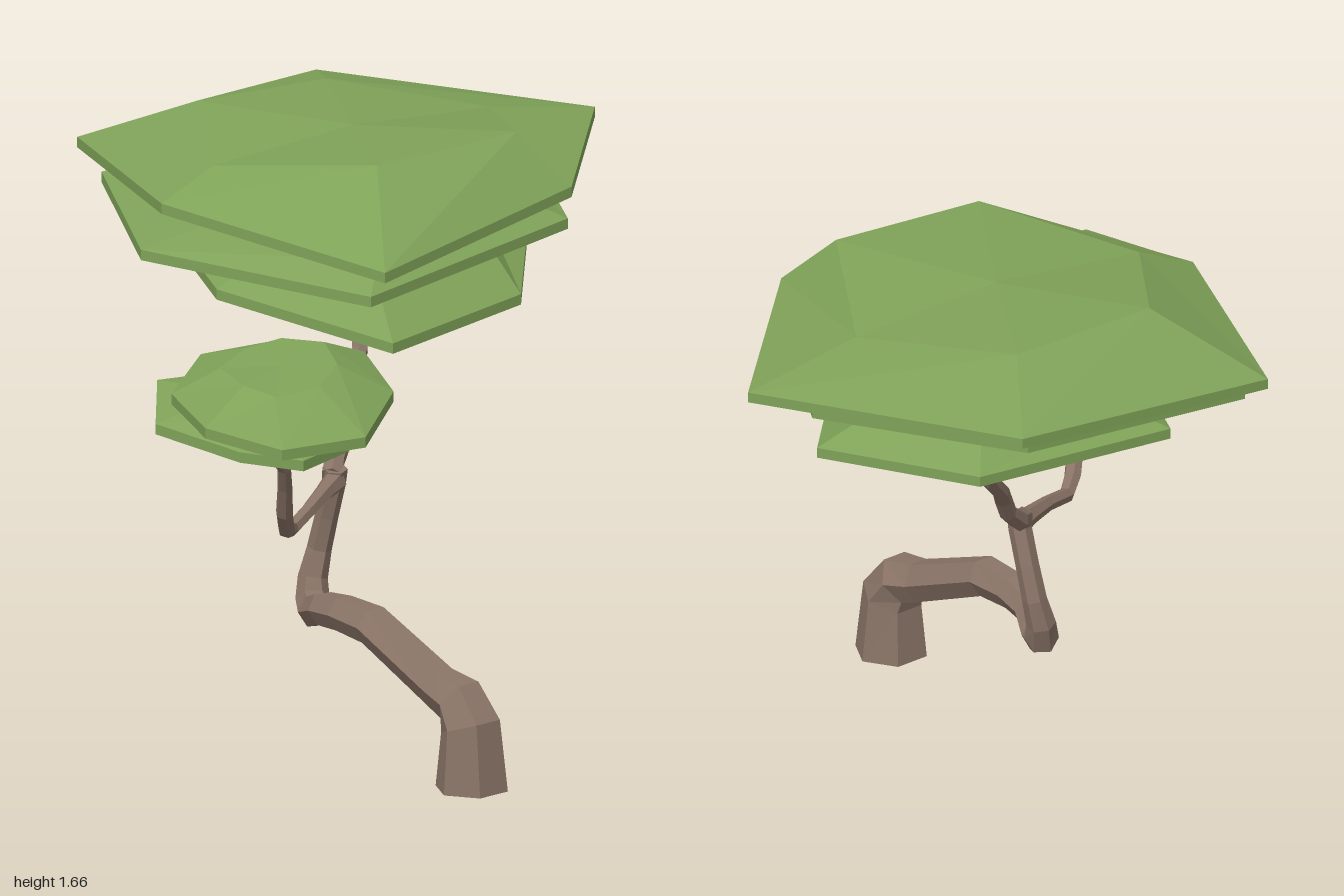
import * as THREE from 'three';

const bark = new THREE.MeshStandardMaterial({ color: 0x8a7467, flatShading: true });
const leaf = new THREE.MeshStandardMaterial({ color: 0x7fa258, flatShading: true });

// Joins equal-sized rings of points into a closed, flat-shaded skin.
function loft(rings, material, name) {
  const n = rings[0].length;
  const pos = [];
  const tri = (...pts) => pts.forEach((p) => pos.push(p.x, p.y, p.z));
  const centre = (ring) => ring.reduce((s, p) => s.add(p), new THREE.Vector3()).divideScalar(n);
  const first = rings[0], last = rings[rings.length - 1];
  const c0 = centre(first), c1 = centre(last);
  for (let i = 0; i < n; i++) {
    const j = (i + 1) % n;
    for (let k = 0; k < rings.length - 1; k++) {
      const a = rings[k], b = rings[k + 1];
      tri(a[i], a[j], b[j]);
      tri(a[i], b[j], b[i]);
    }
    tri(c0, first[j], first[i]);
    tri(c1, last[i], last[j]);
  }
  const geo = new THREE.BufferGeometry();
  geo.setAttribute('position', new THREE.Float32BufferAttribute(pos, 3));
  geo.computeVertexNormals();
  const mesh = new THREE.Mesh(geo, material);
  mesh.name = name;
  return mesh;
}

// Six-sided limb through stations [x, y, z, radius].
function limb(name, stations, startDir) {
  const pts = stations.map((s) => new THREE.Vector3(s[0], s[1], s[2]));
  let side = new THREE.Vector3(1, 0, 0);
  let prev = new THREE.Vector3(...startDir).normalize();
  side.addScaledVector(prev, -side.dot(prev));
  if (side.length() < 0.3) side.set(0, 0, 1).addScaledVector(prev, -prev.z);
  side.normalize();
  const rings = pts.map((p, i) => {
    const t = i === 0 ? prev.clone() : new THREE.Vector3();
    if (i > 0) {
      t.add(p.clone().sub(pts[i - 1]).normalize());
      if (i < pts.length - 1) t.add(pts[i + 1].clone().sub(p).normalize());
      t.normalize();
    }
    side.applyQuaternion(new THREE.Quaternion().setFromUnitVectors(prev, t));
    prev = t;
    const up = t.clone().cross(side);
    return Array.from({ length: 6 }, (_, k) => {
      const a = (k * Math.PI) / 3;
      return p.clone()
        .addScaledVector(side, Math.cos(a) * stations[i][3])
        .addScaledVector(up, Math.sin(a) * stations[i][3]);
    });
  });
  return loft(rings, bark, name);
}

// Faceted leaf pad: shrunken underside, thin rim band and a smaller crown.
function pad(name, rim, crown, under) {
  const upper = rim.map((p) => new THREE.Vector3(...p));
  const lower = upper.map((p) => p.clone().setY(p.y - 0.03));
  const mid = new THREE.Vector3(...under.centre);
  const base = lower.map((p) => {
    const q = p.clone().lerp(mid, 1 - under.scale);
    q.y = mid.y + (p.y - mid.y) * under.tilt;
    return q;
  });
  return loft([base, lower, upper, crown.map((p) => new THREE.Vector3(...p))], leaf, name);
}

export function createModel() {
  const tree = new THREE.Group();
  tree.name = 'leaningTree';

  // Bent trunk and its two branches
  tree.add(limb('trunk', [
    [-0.28, 0, 0.81, 0.105], [-0.28, 0.18, 0.805, 0.088], [-0.28, 0.245, 0.76, 0.075],
    [-0.28, 0.265, 0.68, 0.062], [-0.275, 0.385, 0.4, 0.058], [-0.265, 0.39, 0.27, 0.053],
    [-0.245, 0.378, 0.17, 0.05], [-0.2, 0.345, 0.085, 0.05], [-0.165, 0.365, 0.035, 0.048],
    [-0.15, 0.42, 0.02, 0.042], [-0.13, 0.5, 0.025, 0.035], [-0.125, 0.6, 0.05, 0.033],
    [-0.125, 0.7, 0.08, 0.033], [-0.13, 0.745, 0.09, 0.035],
  ], [0, 1, 0]));
  tree.add(limb('rightHandBranch', [
    [-0.13, 0.71, 0.09, 0.035], [-0.2, 0.7, 0.125, 0.027], [-0.31, 0.68, 0.18, 0.022],
    [-0.42, 0.655, 0.225, 0.022], [-0.485, 0.675, 0.275, 0.025], [-0.53, 0.74, 0.315, 0.025],
    [-0.565, 0.83, 0.355, 0.022], [-0.6, 0.9, 0.39, 0.02], [-0.66, 0.96, 0.41, 0.018],
  ], [-1, -0.1, 0.4]));
  tree.add(limb('leftHandBranch', [
    [-0.14, 0.72, 0.09, 0.035], [-0.09, 0.75, 0.045, 0.03], [-0.03, 0.8, 0.02, 0.025],
    [0.01, 0.865, -0.005, 0.025], [0.065, 0.925, -0.06, 0.024], [0.135, 0.995, -0.095, 0.024],
    [0.165, 1.06, -0.135, 0.024], [0.18, 1.09, -0.17, 0.026], [0.19, 1.16, -0.18, 0.022],
  ], [1, 0.6, -0.6]));

  // Three stacked pads on the main crown
  tree.add(pad('topLeafPad',
    [[-0.5, 1.515, -0.22], [-0.33, 1.435, 0.51], [0.44, 1.52, 0.44],
      [1, 1.535, -0.07], [0.64, 1.555, -0.82], [-0.19, 1.505, -0.9]],
    [[-0.32, 1.595, -0.2], [-0.12, 1.65, 0.25], [0.36, 1.665, 0.3],
      [0.63, 1.6, -0.1], [0.41, 1.635, -0.53], [-0.04, 1.65, -0.57]],
    { centre: [0.2, 1.45, -0.2], scale: 0.75, tilt: 0.5 }));
  tree.add(pad('middleLeafPad',
    [[-0.55, 1.385, -0.25], [-0.31, 1.345, 0.43], [0.5, 1.4, 0.36],
      [0.79, 1.43, -0.1], [0.5, 1.445, -0.68], [-0.2, 1.43, -0.79]],
    [[-0.36, 1.42, -0.22], [-0.2, 1.41, 0.34], [0.42, 1.45, 0.28],
      [0.66, 1.47, -0.1], [0.42, 1.47, -0.55], [-0.14, 1.47, -0.62]],
    { centre: [0.18, 1.34, -0.18], scale: 0.75, tilt: 0.5 }));
  tree.add(pad('lowerLeafPad',
    [[-0.31, 1.235, -0.2], [-0.18, 1.175, 0.38], [0.36, 1.2, 0.32],
      [0.73, 1.27, -0.05], [0.52, 1.28, -0.5], [-0.1, 1.265, -0.59]],
    [[-0.2, 1.3, -0.16], [-0.08, 1.31, 0.2], [0.37, 1.31, 0.18],
      [0.58, 1.33, -0.08], [0.43, 1.34, -0.4], [-0.02, 1.32, -0.46]],
    { centre: [0.2, 1.145, -0.16], scale: 0.55, tilt: 0.1 }));

  // Two pads on the side branch
  tree.add(pad('sideUpperLeafPad',
    [[-0.87, 1.13, 0.22], [-1, 1.115, 0.5], [-0.96, 1.1, 0.77], [-0.7, 1.1, 0.83],
      [-0.4, 1.13, 0.62], [-0.27, 1.165, 0.36], [-0.4, 1.17, 0.12], [-0.62, 1.165, 0.07]],
    [[-0.76, 1.2, 0.3], [-0.82, 1.195, 0.46], [-0.8, 1.18, 0.57], [-0.66, 1.19, 0.6],
      [-0.52, 1.21, 0.52], [-0.44, 1.23, 0.38], [-0.5, 1.23, 0.27], [-0.62, 1.22, 0.25]],
    { centre: [-0.64, 1.09, 0.43], scale: 0.7, tilt: 0.6 }));
  tree.add(pad('sideLowerLeafPad',
    [[-0.93, 1.055, 0.22], [-0.87, 1.02, 0.5], [-0.74, 0.995, 0.62], [-0.52, 1.0, 0.57],
      [-0.42, 1.06, 0.3], [-0.51, 1.09, 0.05], [-0.72, 1.095, 0]],
    [[-0.8, 1.09, 0.26], [-0.77, 1.085, 0.4], [-0.7, 1.075, 0.46], [-0.59, 1.08, 0.43],
      [-0.53, 1.095, 0.3], [-0.58, 1.105, 0.17], [-0.7, 1.105, 0.14]],
    { centre: [-0.66, 0.95, 0.41], scale: 0.4, tilt: 0.1 }));
  return tree;
}
